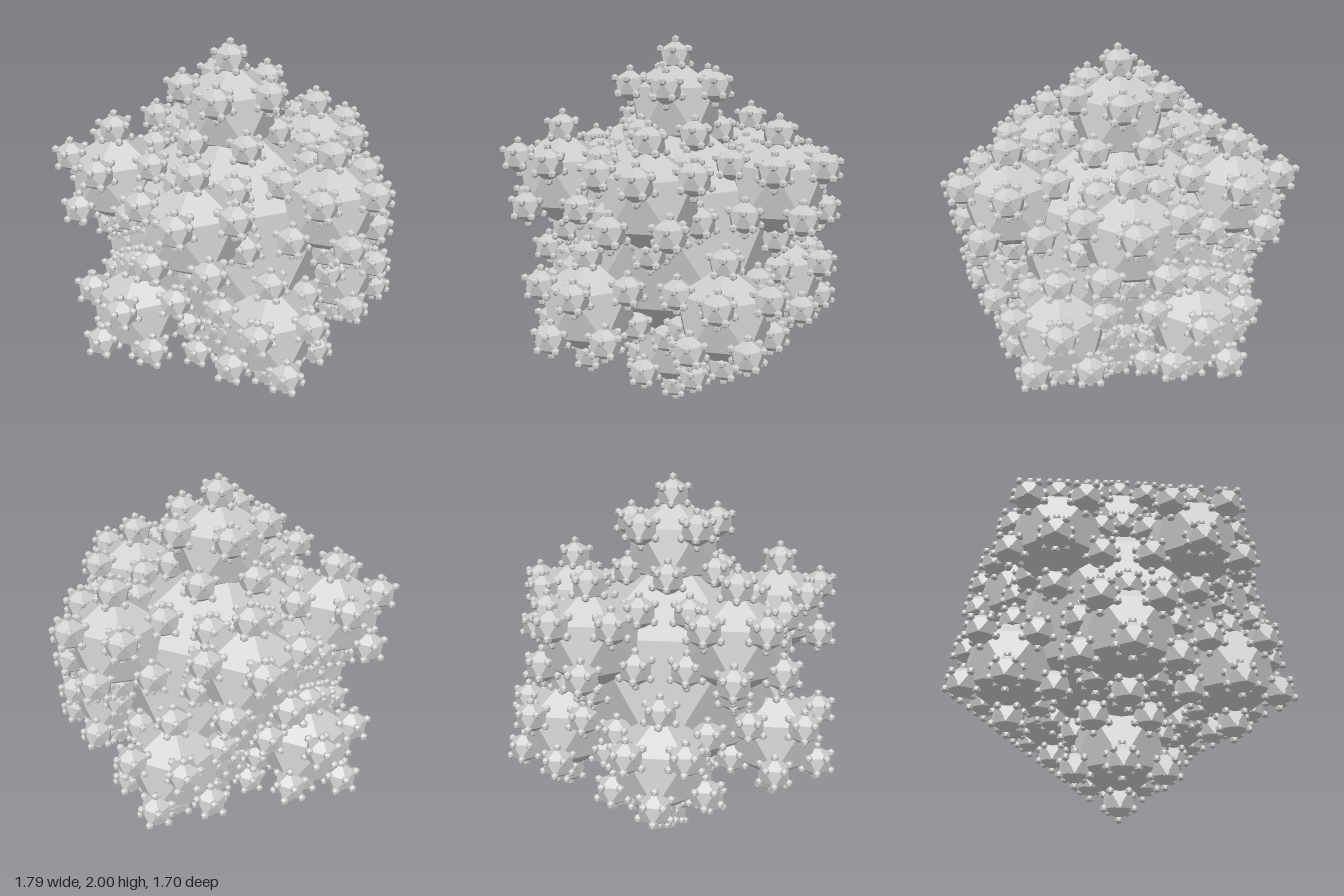
import * as THREE from 'three';
import { mergeGeometries } from 'three/addons/utils/BufferGeometryUtils.js';
import { ConvexGeometry } from 'three/addons/geometries/ConvexGeometry.js';

// Circumradius of the icosahedra at each level; the radii add up to 1
const LEVELS = [
  { name: 'coreIcosahedron', radius: 0.638 },
  { name: 'largeIcosahedra', radius: 0.255 },
  { name: 'smallIcosahedra', radius: 0.0855 },
  { name: 'tipIcosahedra', radius: 0.0215 },
];

// Twelve unit corners: two poles and two staggered rings of five
function icosahedronCorners() {
  const h = 1 / Math.sqrt(5), r = 2 / Math.sqrt(5);
  const corners = [new THREE.Vector3(0, 1, 0), new THREE.Vector3(0, -1, 0)];
  for (let i = 0; i < 5; i++) {
    const a = (i * 2 * Math.PI) / 5;
    corners.push(new THREE.Vector3(r * Math.cos(a), h, r * Math.sin(a)));
    corners.push(new THREE.Vector3(-r * Math.cos(a), -h, -r * Math.sin(a)));
  }
  return corners;
}

export function createModel() {
  const model = new THREE.Group();
  model.name = 'fractalIcosahedron';
  const material = new THREE.MeshStandardMaterial({ color: 0xcccccc, flatShading: true });
  const corners = icosahedronCorners();
  const unit = new ConvexGeometry(corners);

  // Each level sits on every corner of the level before it
  let centres = [new THREE.Vector3(0, 1, 0)];
  for (const { name, radius } of LEVELS) {
    const solid = unit.clone().scale(radius, radius, radius);
    const copies = centres.map((c) => solid.clone().translate(c.x, c.y, c.z));
    const mesh = new THREE.Mesh(mergeGeometries(copies), material);
    mesh.name = name;
    model.add(mesh);
    centres = centres.flatMap((c) => corners.map((v) => c.clone().addScaledVector(v, radius)));
  }
  return model;
}
